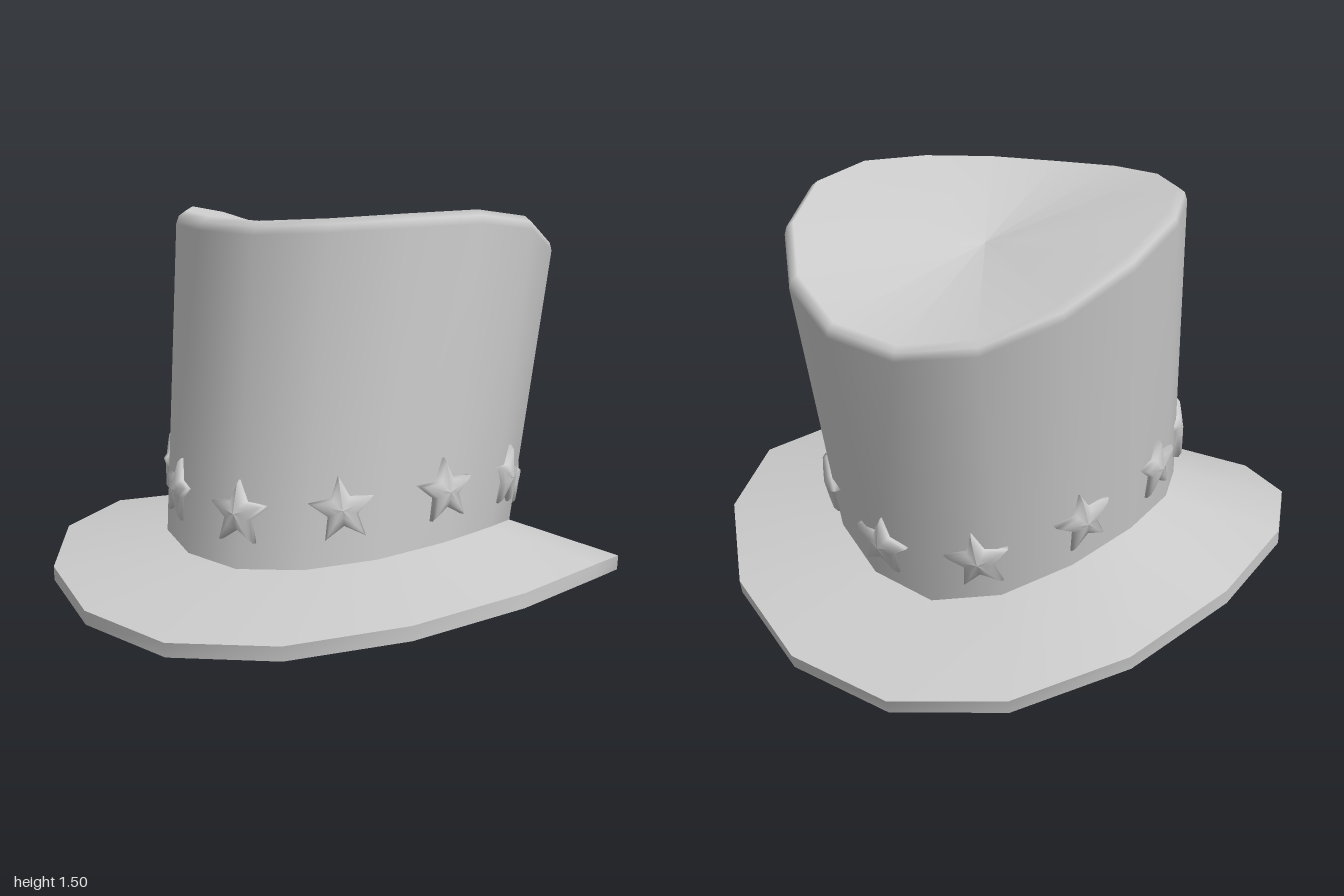
import * as THREE from 'three';

const SIDES = 16;
const material = new THREE.MeshStandardMaterial({ color: 0xcccccc });

// Oval ring around y; heights run from front (+z) to back and are mirrored.
function ring(rx, rz, cz, heights, drop = 0) {
  return Array.from({ length: SIDES }, (_, i) => {
    const a = (i / SIDES) * Math.PI * 2;
    const y = heights[Math.min(i, SIDES - i)] - drop;
    return new THREE.Vector3(rx * Math.sin(a), y, cz + rz * Math.cos(a));
  });
}

const centre = (y, z) => ring(0, 0, z, Array(9).fill(y));

// Smooth skin through a list of rings.
function loft(name, rings) {
  const positions = rings.flat().flatMap((p) => p.toArray());
  const index = [];
  for (let j = 0; j < rings.length - 1; j++) {
    for (let i = 0; i < SIDES; i++) {
      const n = (i + 1) % SIDES;
      const a = j * SIDES + i, b = j * SIDES + n;
      const c = b + SIDES, d = a + SIDES;
      index.push(a, b, c, a, c, d);
    }
  }
  const g = new THREE.BufferGeometry();
  g.setAttribute('position', new THREE.Float32BufferAttribute(positions, 3));
  g.setIndex(index);
  g.computeVertexNormals();
  const mesh = new THREE.Mesh(g, material);
  mesh.name = name;
  return mesh;
}

// Puffy five-pointed star facing +z, one tip up.
function starGeometry() {
  const profile = [[0.11, -0.02], [0.11, 0.008], [0.095, 0.02], [0.05, 0.027], [0, 0.033]]
    .map(([x, y]) => new THREE.Vector2(x, y));
  const g = new THREE.LatheGeometry(profile, 10);
  const p = g.attributes.position;
  for (let i = 0; i < p.count; i++) {
    const segment = Math.floor(i / profile.length);
    const s = segment % 2 ? 0.46 : 1;
    p.setXYZ(i, p.getX(i) * s, p.getY(i), p.getZ(i) * s);
  }
  g.rotateY(Math.PI);
  g.rotateX(Math.PI / 2);
  g.computeVertexNormals();
  return g;
}

export function createModel() {
  const hat = new THREE.Group();
  hat.name = 'topHat';

  // Curved brim edge, crown foot and sloping crown top
  const rimHeights = [0.165, 0.193, 0.25, 0.305, 0.325, 0.265, 0.15, 0.042, 0];
  const footHeights = [0.36, 0.375, 0.405, 0.435, 0.445, 0.42, 0.355, 0.275, 0.235];
  const topHeights = [1.465, 1.475, 1.49, 1.5, 1.475, 1.395, 1.285, 1.195, 1.165];
  const rimBottom = ring(0.98, 0.99, 0.005, rimHeights);
  const rimTop = ring(0.98, 1, 0, rimHeights, -0.047);
  const foot = ring(0.59, 0.64, -0.02, footHeights);
  const shoulder = ring(0.648, 0.7, -0.192, topHeights, 0.045);

  // Brim
  const brim = new THREE.Group();
  brim.name = 'brim';
  brim.add(
    loft('brimUnderside', [centre(0.26, 0), rimBottom]),
    loft('brimEdge', [rimBottom, rimTop]),
    loft('brimTop', [rimTop, foot]),
  );
  hat.add(brim);

  // Crown with rounded shoulder and saddle-shaped top
  hat.add(loft('crown', [
    foot,
    shoulder,
    ring(0.64, 0.692, -0.194, topHeights, 0.018),
    ring(0.615, 0.672, -0.197, topHeights),
    centre(1.32, -0.2),
  ]));

  // Point on the crown wall at an angle from the front and a fraction of its height
  const wall = (angle, v) => {
    const t = (((angle / (Math.PI * 2)) % 1 + 1) % 1) * SIDES;
    const i = Math.floor(t) % SIDES, n = (i + 1) % SIDES, f = t - Math.floor(t);
    return foot[i].clone().lerp(foot[n], f)
      .lerp(shoulder[i].clone().lerp(shoulder[n], f), v);
  };

  // Band of stars, each lying on the wall
  const stars = new THREE.Group();
  stars.name = 'starBand';
  const geometry = starGeometry();
  const count = 11;
  for (let k = 0; k < count; k++) {
    const a = (k / count) * Math.PI * 2, v = 0.168;
    const across = wall(a + 0.12, v).sub(wall(a - 0.12, v)).normalize();
    const out = across.clone().cross(wall(a, v + 0.1).sub(wall(a, v))).normalize();
    const up = out.clone().cross(across);
    const star = new THREE.Mesh(geometry, material);
    star.name = 'star';
    star.quaternion.setFromRotationMatrix(new THREE.Matrix4().makeBasis(across, up, out));
    star.position.copy(wall(a, v));
    stars.add(star);
  }
  hat.add(stars);
  return hat;
}
